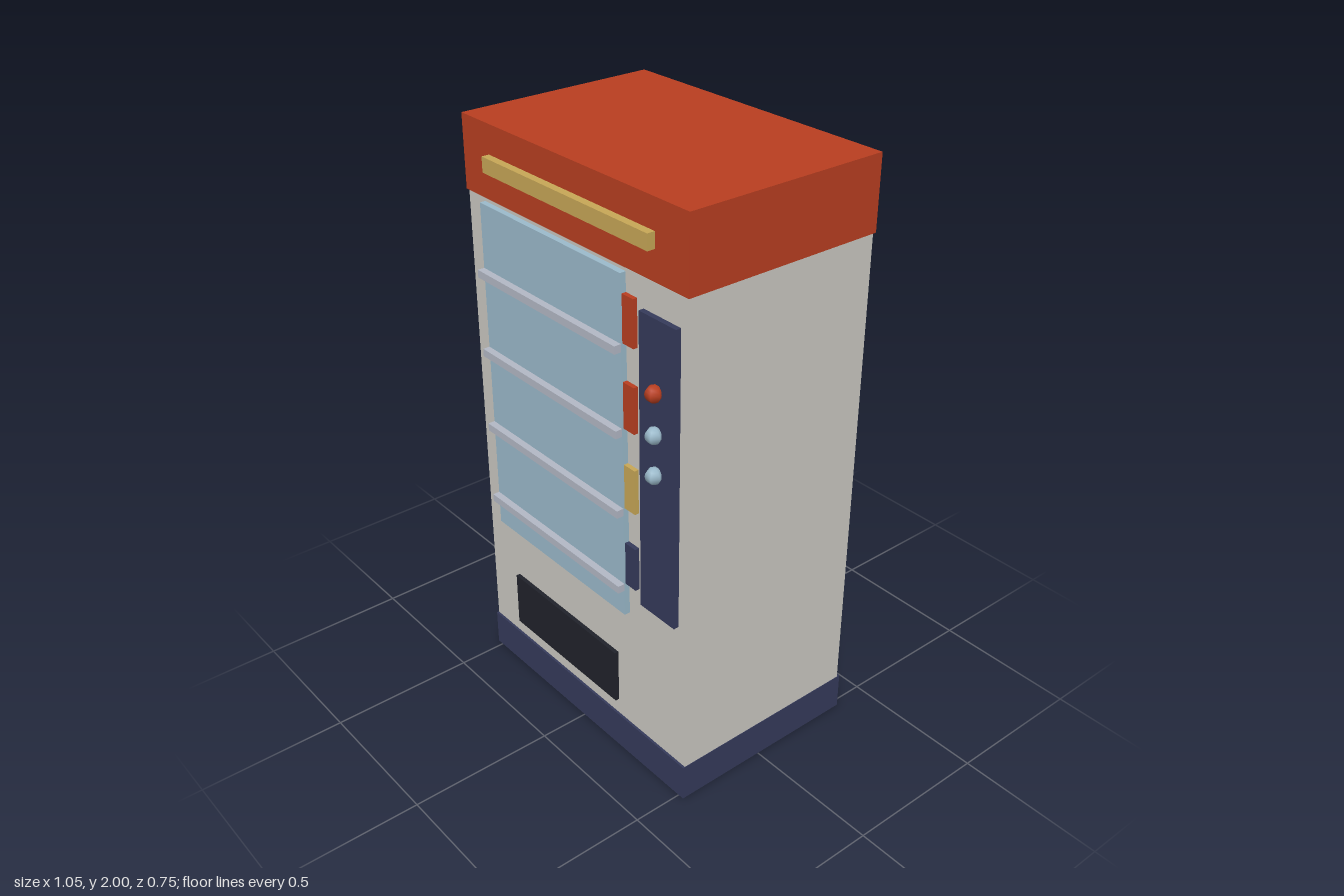
import * as THREE from 'three';

const mat = (name, color) => Object.assign(new THREE.MeshStandardMaterial({ color }), { name });

export function createModel() {
  const ivory = mat('ivory', 0xc9c7c0);
  const red = mat('red', 0xb83e20);
  const navy = mat('navy', 0x353a5a);
  const glass = mat('glassBlue', 0x9ab9ca);
  const gold = mat('gold', 0xc6a656);
  const steel = mat('steel', 0xb2b7c4);
  const black = mat('black', 0x20222a);

  const root = new THREE.Group();
  root.name = 'vendingMachine';

  // Box given by its extents along each axis
  const box = (name, material, [x0, x1], [y0, y1], [z0, z1]) => {
    const mesh = new THREE.Mesh(new THREE.BoxGeometry(x1 - x0, y1 - y0, z1 - z0), material);
    mesh.position.set((x0 + x1) / 2, (y0 + y1) / 2, (z0 + z1) / 2);
    mesh.name = name;
    root.add(mesh);
  };

  // Cabinet with slightly proud header and plinth
  box('cabinet', ivory, [-0.521, 0.521], [0, 1.99], [-0.365, 0.322]);
  box('header', red, [-0.523, 0.523], [1.76, 2], [-0.375, 0.33]);
  box('plinth', navy, [-0.523, 0.523], [0.002, 0.132], [-0.375, 0.33]);
  box('signBar', gold, [-0.386, 0.385], [1.855, 1.905], [0.32, 0.356]);

  // Display window with shelf rails
  box('window', glass, [-0.434, 0.25], [0.584, 1.744], [0.31, 0.342]);
  for (const y of [1.516, 1.242, 0.967, 0.69])
    box('shelfRail', steel, [-0.434, 0.25], [y - 0.013, y + 0.013], [0.341, 0.366]);

  // Product tabs beside the window
  [[red, 1.53], [red, 1.255], [gold, 0.98], [navy, 0.702]].forEach(([material, y]) =>
    box('productTab', material, [0.2, 0.299], [y, y + 0.152], [0.31, 0.337]));

  // Control panel with buttons
  box('controlPanel', navy, [0.327, 0.484], [0.667, 1.66], [0.31, 0.34]);
  const buttonGeometry = new THREE.SphereGeometry(0.027, 6, 8);
  [[red, 1.44], [glass, 1.307], [glass, 1.175]].forEach(([material, y]) => {
    const button = new THREE.Mesh(buttonGeometry, material);
    button.position.set(0.406, y, 0.352);
    button.name = 'button';
    root.add(button);
  });

  // Collection slot
  box('collectionSlot', black, [-0.367, 0.187], [0.19, 0.388], [0.31, 0.336]);

  return root;
}
